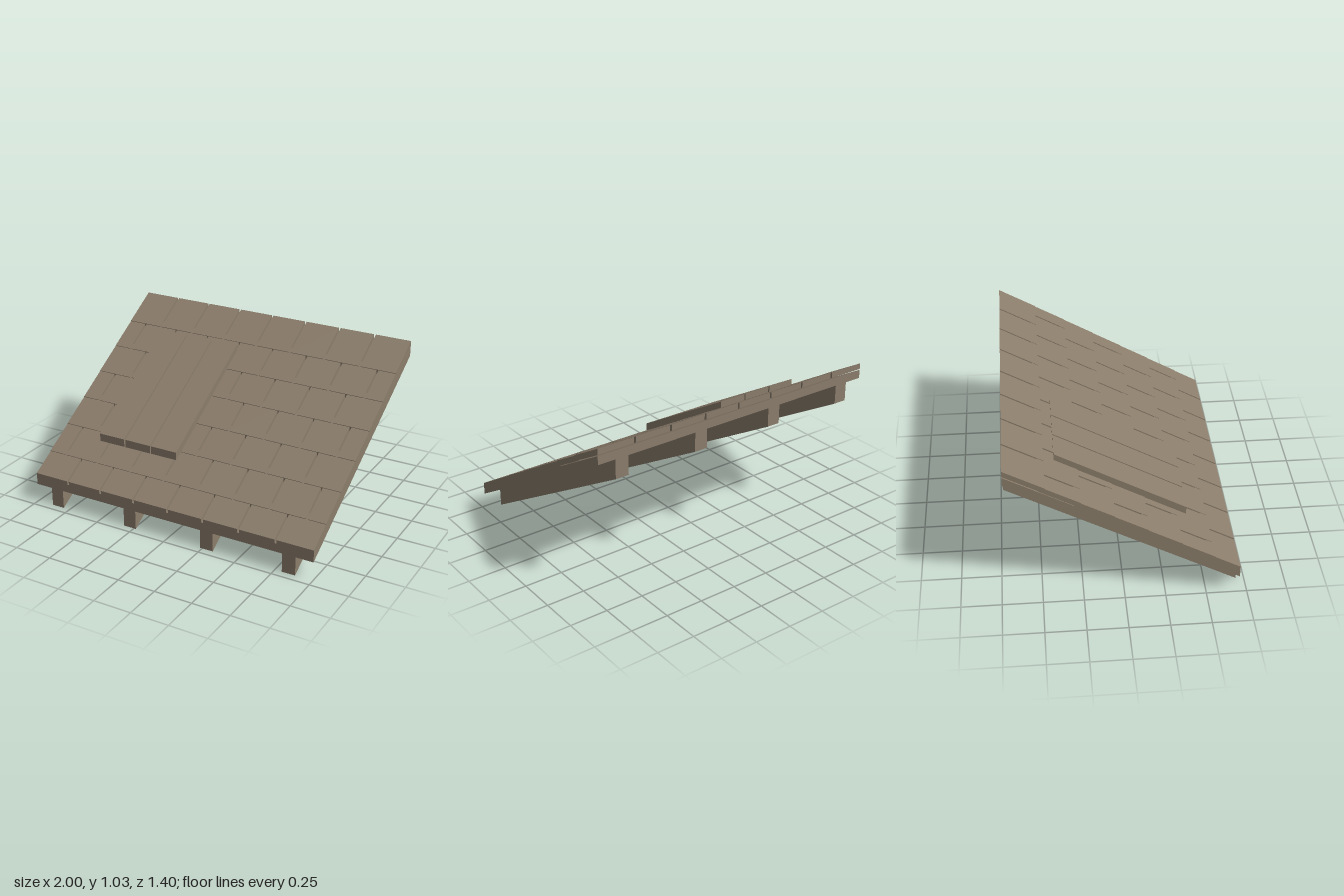
import * as THREE from 'three';

const SLOPE = Math.tan(Math.PI / 6);

export function createModel() {
  const roof = new THREE.Group();
  roof.name = 'roofSection';
  const wood = new THREE.MeshStandardMaterial({ color: 0x8b7d6b });
  wood.name = 'weatheredWood';

  // Box sheared along the pitch, so its ends stay vertical.
  // Heights are measured from the underside line of the rafters.
  function slopedBox(parent, name, x0, x1, zFront, zBack, low, high) {
    const geo = new THREE.BoxGeometry(x1 - x0, high - low, zFront - zBack);
    geo.translate((x0 + x1) / 2, (low + high) / 2, (zFront + zBack) / 2);
    const p = geo.attributes.position;
    for (let i = 0; i < p.count; i++) {
      p.setY(i, p.getY(i) + SLOPE * (0.7 - p.getZ(i)));
    }
    geo.computeVertexNormals();
    const mesh = new THREE.Mesh(geo, wood);
    mesh.name = name;
    parent.add(mesh);
  }

  // Rafters under the deck
  for (const x of [-0.84, -0.28, 0.28, 0.84]) {
    slopedBox(roof, 'rafter', x - 0.044, x + 0.044, 0.7, -0.7, 0, 0.125);
  }

  // Deck
  slopedBox(roof, 'deck', -1, 1, 0.7, -0.7, 0.125, 0.181);

  // Overlapping shingle courses, every second one shifted by half a shingle
  const gap = 0.006;
  for (let row = 0; row < 7; row++) {
    const course = new THREE.Group();
    course.name = 'shingleCourse';
    roof.add(course);
    const zFront = Math.min(0.7, 0.74 - 0.2 * row);
    const zBack = 0.5 - 0.2 * row;
    const top = 0.205 + 0.0035 * row;
    const start = row % 2 ? -1.125 : -1;
    for (let x = start; x < 0.99; x += 0.25) {
      const x0 = x <= -1 ? -1 : x + gap;
      const x1 = x + 0.25 >= 1 ? 1 : x + 0.25 - gap;
      slopedBox(course, 'shingle', x0, x1, zFront, zBack, top - 0.038, top);
    }
  }

  // Repair patch of three planks
  const patch = new THREE.Group();
  patch.name = 'plankPatch';
  roof.add(patch);
  for (let i = 0; i < 3; i++) {
    const x = -0.6 + 0.197 * i;
    slopedBox(patch, 'patchPlank', x - 0.094, x + 0.094, 0.4, -0.4, 0.212, 0.265);
  }

  return roof;
}
